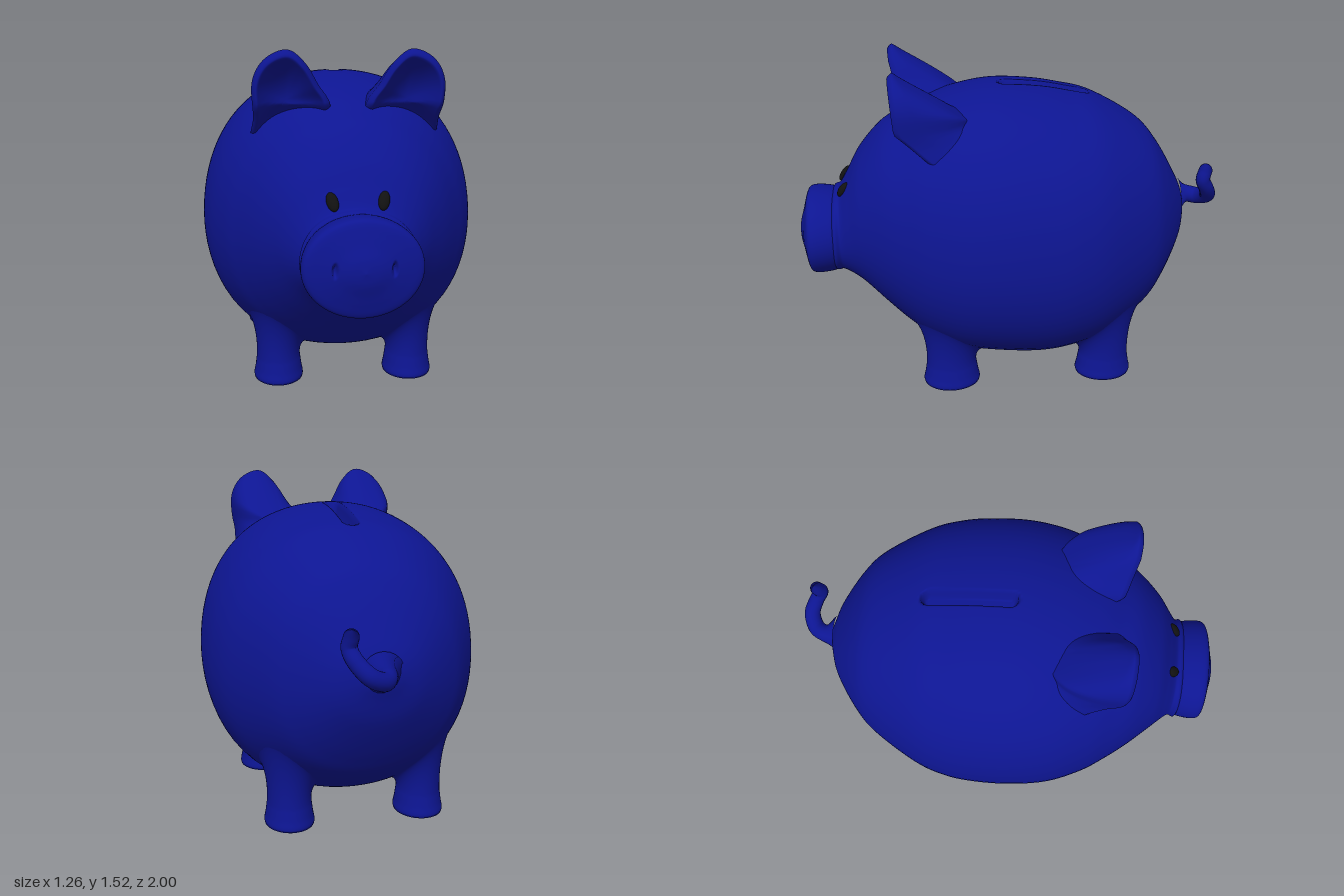
import * as THREE from 'three';

const blue = new THREE.MeshStandardMaterial({ color: 0x0d1592 });
const black = new THREE.MeshStandardMaterial({ color: 0x111111 });
const V = (x, y, z = 0) => new THREE.Vector3(x, y, z);
const spline = (pts, closed = false) =>
  new THREE.CatmullRomCurve3(pts.map(p => V(...p)), closed, 'catmullrom', 0.5);
const smooth = THREE.MathUtils.smoothstep;

// Smooth surface from rings: f(u, v) gives a point, v wraps round
function rings(nu, nv, f) {
  const pos = [], idx = [];
  for (let i = 0; i <= nu; i++)
    for (let j = 0; j < nv; j++) pos.push(...f(i / nu, j / nv));
  for (let i = 0; i < nu; i++)
    for (let j = 0; j < nv; j++) {
      const k = (j + 1) % nv;
      const a = i * nv + j, b = a + nv, c = (i + 1) * nv + k, d = i * nv + k;
      idx.push(a, b, c, a, c, d);
    }
  const g = new THREE.BufferGeometry();
  g.setAttribute('position', new THREE.Float32BufferAttribute(pos, 3));
  g.setIndex(idx);
  g.computeVertexNormals();
  return g;
}

// Body sections: z, top, bottom, half width
const sections = [
  [-0.86, 0.79, 0.77, 0], [-0.84, 0.83, 0.69, 0.09], [-0.8, 0.92, 0.555, 0.2],
  [-0.7, 1.09, 0.37, 0.345], [-0.6, 1.2, 0.25, 0.44], [-0.4, 1.315, 0.125, 0.56],
  [-0.25, 1.355, 0.085, 0.612], [-0.1, 1.38, 0.07, 0.63], [0.08, 1.388, 0.085, 0.628],
  [0.25, 1.36, 0.115, 0.6], [0.4, 1.31, 0.18, 0.54], [0.5, 1.26, 0.255, 0.48],
  [0.6, 1.2, 0.35, 0.41], [0.7, 1.09, 0.45, 0.325], [0.76, 0.985, 0.495, 0.268],
  [0.8, 0.915, 0.515, 0.235], [0.84, 0.88, 0.53, 0.222], [0.87, 0.72, 0.68, 0]];
const heights = spline(sections.map(s => [s[0], s[1], s[2]]));
const widths = spline(sections.map(s => [s[0], s[3], 0]));

function bodySection(u) {
  const { x: z, y: top, z: bottom } = heights.getPoint(u);
  const w = Math.max(0, widths.getPoint(u).y);
  return { z, top, bottom, w, mid: (top + bottom) / 2 - 0.05 * w };
}
const plump = a => 1 + 0.03 * Math.sin(2 * a) ** 2;

// Body: oval sections along z, with a coin slot sunk into the back
function bodyGeometry() {
  return rings(289, 120, (u, v) => {
    const { z, top, bottom, w, mid } = bodySection(u);
    const t = v * Math.PI * 2, a = t - 0.82 * Math.sin(t); // finer along the back
    const x = w * Math.sin(a) * plump(a), c = Math.cos(a) * plump(a);
    let y = mid + c * (c > 0 ? top - mid : mid - bottom);
    if (c > 0) {
      const d = Math.hypot(x, z - THREE.MathUtils.clamp(z, -0.335, 0.015));
      y -= 0.07 * (1 - smooth(d, 0.022, 0.038));
    }
    return [x, y, z];
  });
}

// Height of the underside of the body above a point on the ground
function bellyHeight(x, z) {
  let lo = 0, hi = 1;
  for (let i = 0; i < 24; i++) {
    const m = (lo + hi) / 2;
    if (heights.getPoint(m).x < z) lo = m; else hi = m;
  }
  const { bottom, w, mid } = bodySection(lo);
  const s = Math.min(0.99, Math.abs(x) / w);
  let a = Math.asin(s);
  for (let i = 0; i < 8; i++) a = Math.asin(s / plump(a));
  return mid - Math.cos(a) * plump(a) * (mid - bottom);
}

// Leg: flared foot and slim ankle, its top spreading smoothly onto the belly
function legGeometry(cx, cz) {
  const foot = spline([[0, 0], [0.118, 0], [0.131, 0.005], [0.134, 0.018], [0.127, 0.05], [0.119, 0.1]]);
  return rings(60, 48, (u, v) => {
    const a = v * Math.PI * 2;
    const at = r => [cx + 0.84 * r * Math.cos(a), cz + r * Math.sin(a)];
    if (u <= 0.5) {
      const p = foot.getPoint(u * 2), [x, z] = at(p.x);
      return [x, p.y, z];
    }
    const s = (u - 0.5) * Math.PI;
    const [x, z] = at(0.119 - 0.012 * Math.sin(s) + 0.06 * (1 - Math.cos(s)));
    return [x, 0.1 + (bellyHeight(x, z) + 0.004 - 0.1) * Math.sin(s), z];
  });
}

// Snout: oval disc with two nostril dents
function snoutGeometry() {
  const profile = spline([[0.93, 0.78], [0.94, 0.82], [0.975, 0.85], [1, 0.89], [1, 0.925],
    [0.965, 0.945], [0.88, 0.956], [0.7, 0.967], [0.5, 0.978], [0.25, 0.993], [0, 1]]);
  return rings(120, 120, (u, v) => {
    const p = profile.getPoint(u), a = v * Math.PI * 2;
    const x = 0.243 * p.x * Math.sin(a), y = 0.203 * p.x * Math.cos(a);
    let z = p.y;
    if (z > 0.95) {
      const d = Math.hypot((Math.abs(x) - 0.116) / 0.01, (y - 0.01) / 0.028);
      z -= 0.025 * (1 - smooth(d, 0.3, 1.3));
    }
    return [x, y + 0.7, z];
  });
}

// Ear: rounded rim, hollow front, base sunk into the head
function earGeometry(side) {
  const outline = spline([[0.4, 1.23], [0.405, 1.38], [0.355, 1.475], [0.26, 1.515],
    [0.185, 1.46], [0.13, 1.37], [0.075, 1.275], [0.1, 1.15], [0.25, 1.06], [0.4, 1.1]], true);
  const centre = V(0.26, 1.3);
  return rings(64, 72, (u, v) => {
    const front = u < 0.5, r = front ? 2 * u : 2 - 2 * u;
    const p = outline.getPoint(side > 0 ? v : (1 - v) % 1).sub(centre).multiplyScalar(r).add(centre);
    let z = 0.535 + 0.09 * (p.y - 1.3) - 0.25 * Math.max(0, 0.2 - p.x) - Math.max(0, 1.28 - p.y);
    if (front) {
      z -= 0.1 * Math.max(0, 1 - (r / 0.85) ** 2);
      z -= 0.025 * Math.max(0, (r - 0.85) / 0.15) ** 2;
    } else {
      const depth = Math.min(0.3 - 0.6 * Math.max(0, p.x - 0.28), (1.53 - p.y) * 1.3);
      z -= 0.025 + depth * Math.sqrt(Math.max(0, 1 - r ** 4));
    }
    return [side * p.x, p.y, z];
  });
}

// Tail: curled tube, thick at the root and rounded at the tip
function tailGeometry() {
  const path = spline([[0, 0.785, -0.832], [0, 0.785, -0.89], [0.03, 0.785, -0.938], [0.09, 0.815, -0.96],
    [0.14, 0.87, -0.935], [0.16, 0.92, -0.908], [0.155, 0.965, -0.918], [0.153, 0.998, -0.93]]);
  const n = 80, m = 20;
  const g = new THREE.TubeGeometry(path, n, 1, m);
  const pos = g.attributes.position, p = V(0, 0);
  for (let i = 0; i <= n; i++) {
    const u = i / n, c = path.getPointAt(u);
    const tip = Math.sqrt(Math.max(0, 1 - Math.max(0, (u - 0.92) / 0.08) ** 2));
    const r = (0.043 - 0.012 * u + 0.05 * Math.max(0, 1 - 6 * u) ** 2) * tip;
    for (let j = 0; j <= m; j++) {
      const k = i * (m + 1) + j;
      p.fromBufferAttribute(pos, k).sub(c).multiplyScalar(r).add(c);
      pos.setXYZ(k, p.x, p.y, p.z);
    }
  }
  return g;
}

export function createModel() {
  const model = new THREE.Group();
  model.name = 'piggyBank';
  const add = (name, geometry, material = blue) => {
    const mesh = new THREE.Mesh(geometry, material);
    mesh.name = name;
    model.add(mesh);
    return mesh;
  };
  add('body', bodyGeometry());
  add('snout', snoutGeometry());
  add('tail', tailGeometry());
  for (const [side, label] of [[1, 'left'], [-1, 'right']]) {
    add(label + 'Ear', earGeometry(side));
    add(label + 'FrontLeg', legGeometry(side * 0.302, 0.315));
    add(label + 'BackLeg', legGeometry(side * 0.305, -0.425));
    const eye = add(label + 'Eye', new THREE.SphereGeometry(1, 24, 16), black);
    eye.scale.set(0.024, 0.042, 0.018);
    eye.position.set(side * 0.104, 0.933, 0.781);
    eye.rotation.set(-0.55, side * 0.25, -side * 0.25);
  }
  return model;
}
